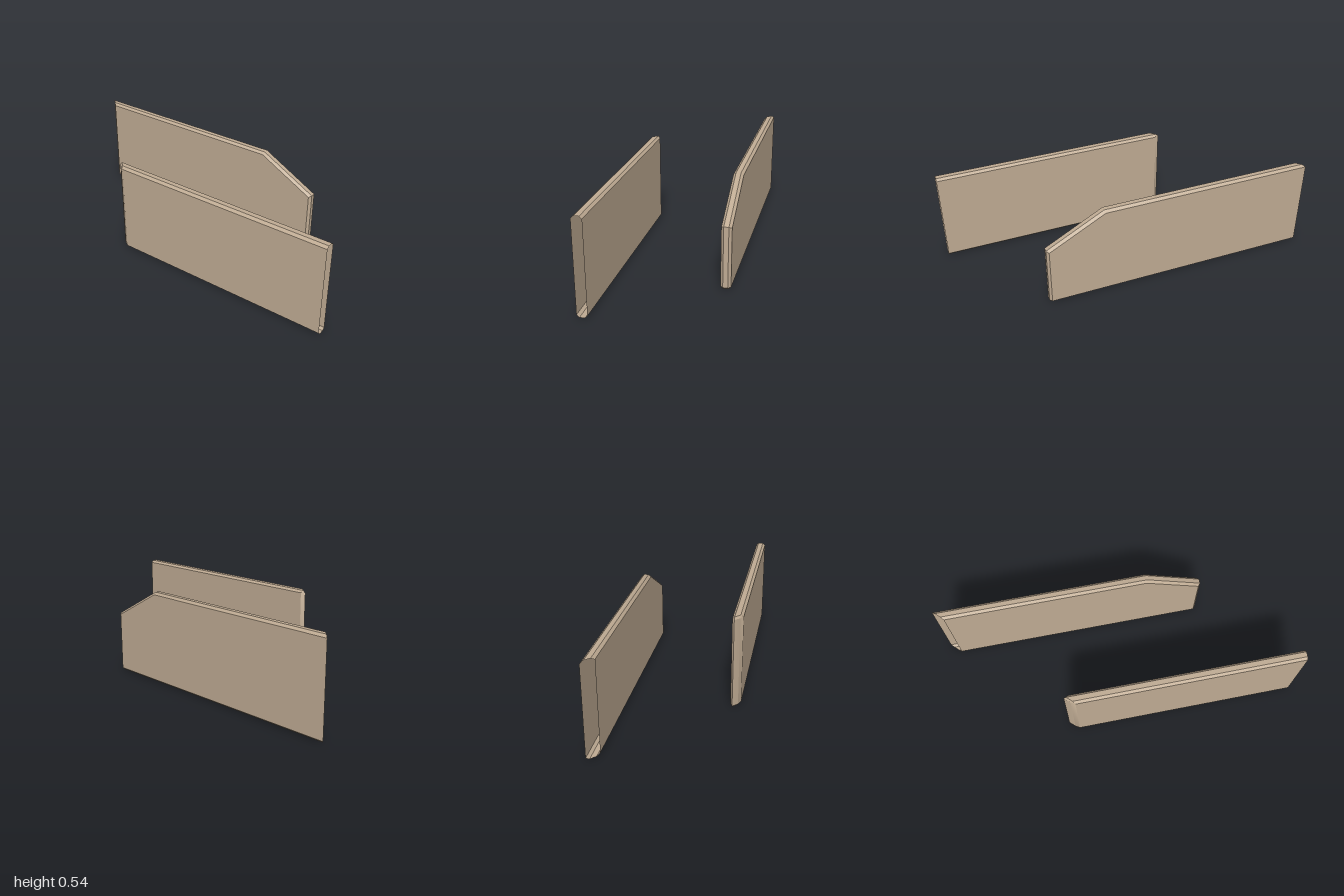
import * as THREE from 'three';
import { toCreasedNormals } from 'three/addons/utils/BufferGeometryUtils.js';

const TOP = 0.54, BEVEL = 0.013;

// Shell lofted through open outlines stacked along z, closed by its two broad
// faces; the end where the outlines start and stop stays open.
function loft(layers) {
  const n = layers[0].points.length, pos = [], index = [];
  layers.forEach(({ z, points }) => points.forEach(([x, y]) => pos.push(x, y, z)));
  for (let l = 0; l < layers.length - 1; l++) {
    for (let k = 0; k < n - 1; k++) {
      const a = l * n + k, b = a + n;
      index.push(a, a + 1, b + 1, a, b + 1, b);
    }
  }
  const last = (layers.length - 1) * n;
  for (let k = 1; k < n - 1; k++) {
    index.push(0, k + 1, k, last, last + k, last + k + 1);
  }
  const g = new THREE.BufferGeometry();
  g.setAttribute('position', new THREE.Float32BufferAttribute(pos, 3));
  g.setIndex(index);
  return toCreasedNormals(g, 0.5);
}

// Rear panel: sloped upper corner at +x, open mitre at -x
function rearLayer(z, inset) {
  const open = -1 + (z + 0.342) / 0.057 * 0.06;
  const end = 0.56 - inset, top = TOP - inset;
  const c = inset ? 0.002 : BEVEL;
  return { z, points: [
    [open, inset], [end - c, inset], [end, inset + c],
    [end, 0.36 - inset * 0.6], [0.23 - inset * 0.3, top], [open, top],
  ] };
}

// Front panel: pointed bevel at -x, open square end at +x
function frontLayer(z, inset, tip) {
  const top = TOP - inset, c = inset ? 0.002 : BEVEL;
  return { z, points: [
    [1, top], [tip + c, top], [tip, top - c],
    [tip, inset + c], [tip + c, inset], [1, inset],
  ] };
}

export function createModel() {
  const model = new THREE.Group();
  model.name = 'panelPair';
  const tan = new THREE.MeshStandardMaterial({ color: 0xbfab93, side: THREE.DoubleSide });
  tan.name = 'warm tan';

  const rear = new THREE.Mesh(loft([
    rearLayer(-0.342, BEVEL), rearLayer(-0.327, 0),
    rearLayer(-0.3, 0), rearLayer(-0.285, BEVEL),
  ]), tan);
  rear.name = 'rearPanel';

  const front = new THREE.Mesh(loft([
    frontLayer(0.285, BEVEL, -0.335), frontLayer(0.298, 0, -0.357),
    frontLayer(0.327, 0, -0.325), frontLayer(0.342, BEVEL, -0.3),
  ]), tan);
  front.name = 'frontPanel';

  model.add(rear, front);
  return model;
}
